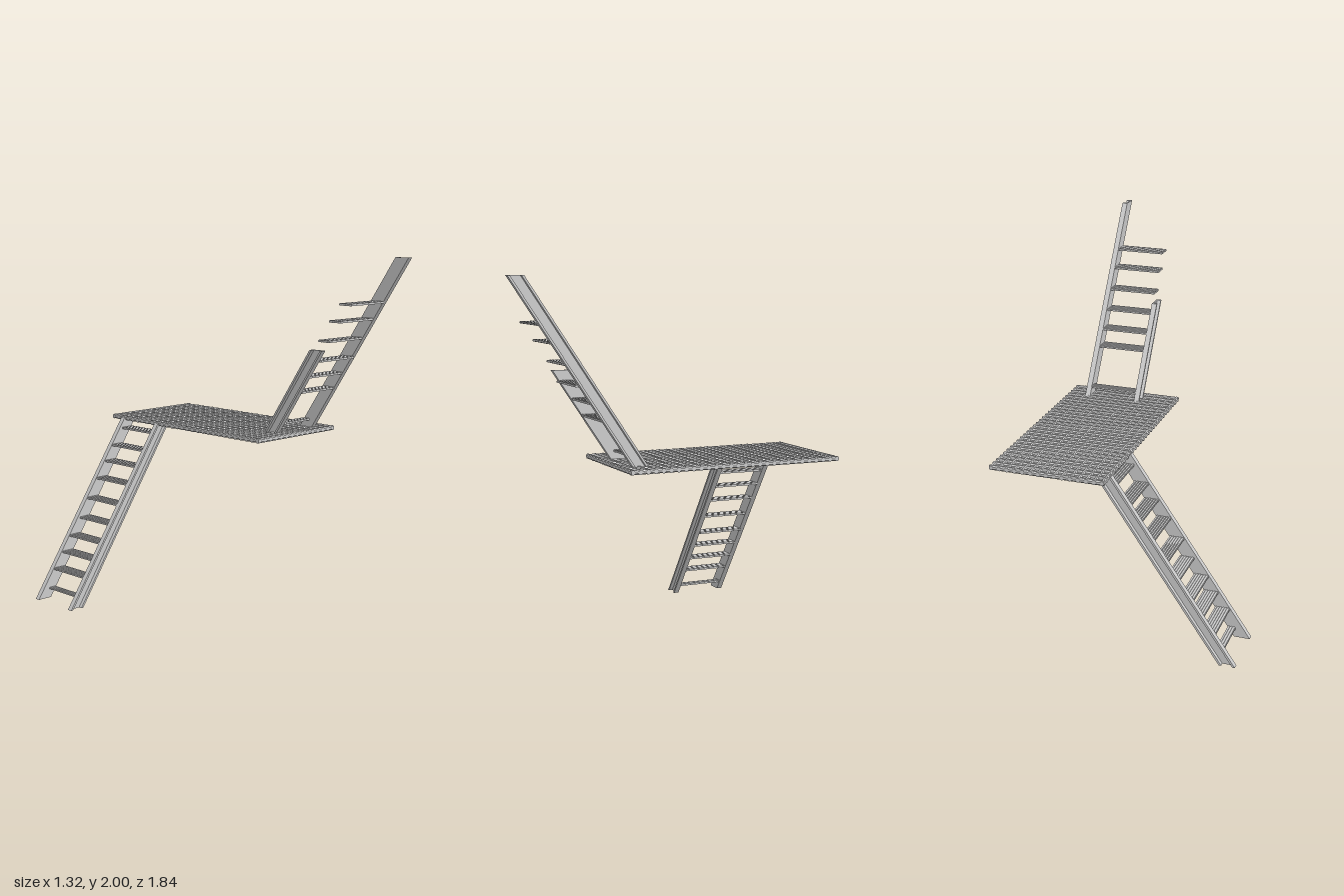
import * as THREE from 'three';

const material = new THREE.MeshStandardMaterial({ color: 0xcccccc, flatShading: true, side: THREE.DoubleSide });
const SLOPE = 0.675; // horizontal run per unit of rise
const FOOT = -0.66;  // upper edge of the stringers at floor level
const DEPTH = 0.088; // horizontal depth of a stringer

function add(parent, geometry, name, x = 0, y = 0, z = 0) {
  const mesh = new THREE.Mesh(geometry, material);
  mesh.name = name;
  mesh.position.set(x, y, z);
  parent.add(mesh);
  return mesh;
}

// Sloping strip with level ends, from offset a to b across the stringer
function strip(a, b, height, thickness) {
  const run = SLOPE * height;
  const shape = new THREE.Shape([
    new THREE.Vector2(FOOT + a, 0),
    new THREE.Vector2(FOOT + b, 0),
    new THREE.Vector2(FOOT + b + run, height),
    new THREE.Vector2(FOOT + a + run, height),
  ]);
  return new THREE.ExtrudeGeometry(shape, { depth: thickness, bevelEnabled: false });
}

// Channel stringer, open to the outside
function stringer(side, height) {
  const group = new THREE.Group();
  group.name = 'stringer';
  const web = 0.008, flange = 0.03, inner = 0.135;
  add(group, strip(0, DEPTH, height, web), 'web', 0, 0, side > 0 ? inner : -inner - web);
  const z = side > 0 ? inner : -inner - flange;
  add(group, strip(0, 0.014, height, flange), 'upperFlange', 0, 0, z);
  add(group, strip(DEPTH - 0.014, DEPTH, height, flange), 'lowerFlange', 0, 0, z);
  return group;
}

// Slatted tread between x0 and x1
function tread(x0, x1, y) {
  const group = new THREE.Group();
  group.name = 'tread';
  const w = x1 - x0, n = Math.max(3, Math.round(w / 0.014));
  add(group, new THREE.BoxGeometry(w, 0.007, 0.274), 'treadPlate', (x0 + x1) / 2, y - 0.001, 0);
  for (let i = 0; i < n; i++) {
    add(group, new THREE.BoxGeometry(w / n * 0.65, 0.012, 0.274), 'treadSlat', x0 + (i + 0.5) * w / n, y, 0);
  }
  return group;
}

const TREAD_HEIGHTS = [0.055, 0.165, 0.255, 0.345, 0.44, 0.55, 0.66, 0.755, 0.845, 0.94];
const OVERHANG = { 0.94: 0.018, 0.44: 0.018, 0.755: 0.006, 0.255: 0.006 };

function stair(name, leftHeight, rightHeight, heights, firstTread) {
  const group = new THREE.Group();
  group.name = name;
  group.add(stringer(1, leftHeight), stringer(-1, rightHeight));
  heights.forEach((y, i) => {
    const edge = FOOT + SLOPE * y, shift = OVERHANG[y] || 0;
    group.add(i === 0 ? tread(...firstTread, y) : tread(edge + 0.003 + shift, edge + DEPTH - 0.002 + shift, y));
  });
  return group;
}

// Grating of crossed eight-sided bars
function platform() {
  const group = new THREE.Group();
  group.name = 'platform';
  const x0 = 0.02, x1 = 0.655, z0 = -0.92, z1 = 0.31, bar = 0.021, y = 0.998;
  const section = new THREE.CylinderGeometry(1, 1, 1, 8).rotateY(Math.PI / 8);
  const k = 1 / Math.cos(Math.PI / 8);
  const along = section.clone().rotateX(Math.PI / 2).scale(bar / 2 * k, 0.012 * k, z1 - z0);
  const across = section.clone().rotateZ(Math.PI / 2).scale(x1 - x0, 0.013 * k, bar / 2 * k);
  const columns = 14, rows = 28;
  for (let i = 0; i <= columns; i++) {
    const x = x0 + bar / 2 + i * (x1 - x0 - bar) / columns;
    add(group, along, 'lengthwiseBar', x, y, (z0 + z1) / 2);
  }
  for (let i = 0; i <= rows; i++) {
    const z = z0 + bar / 2 + i * (z1 - z0 - bar) / rows;
    add(group, across, 'crossBar', (x0 + x1) / 2, y, z);
  }
  return group;
}

export function createModel() {
  const model = new THREE.Group();
  model.name = 'platformWithStairs';
  model.add(platform());

  // Complete stair from the floor up to the platform
  const lower = stair('lowerStair', 1, 1, TREAD_HEIGHTS, [-0.58, -0.536]);
  lower.position.set(0, 0, -0.67);
  model.add(lower);

  // Broken stair above: one short stringer and missing treads
  const remaining = TREAD_HEIGHTS.filter((y) => y !== 0.165 && y < 0.8);
  const upper = stair('upperStair', 0.5, 1, remaining, [-0.63, -0.58]);
  upper.rotation.y = -Math.PI / 2;
  upper.position.set(0.383, 1, 0.82);
  model.add(upper);
  return model;
}
